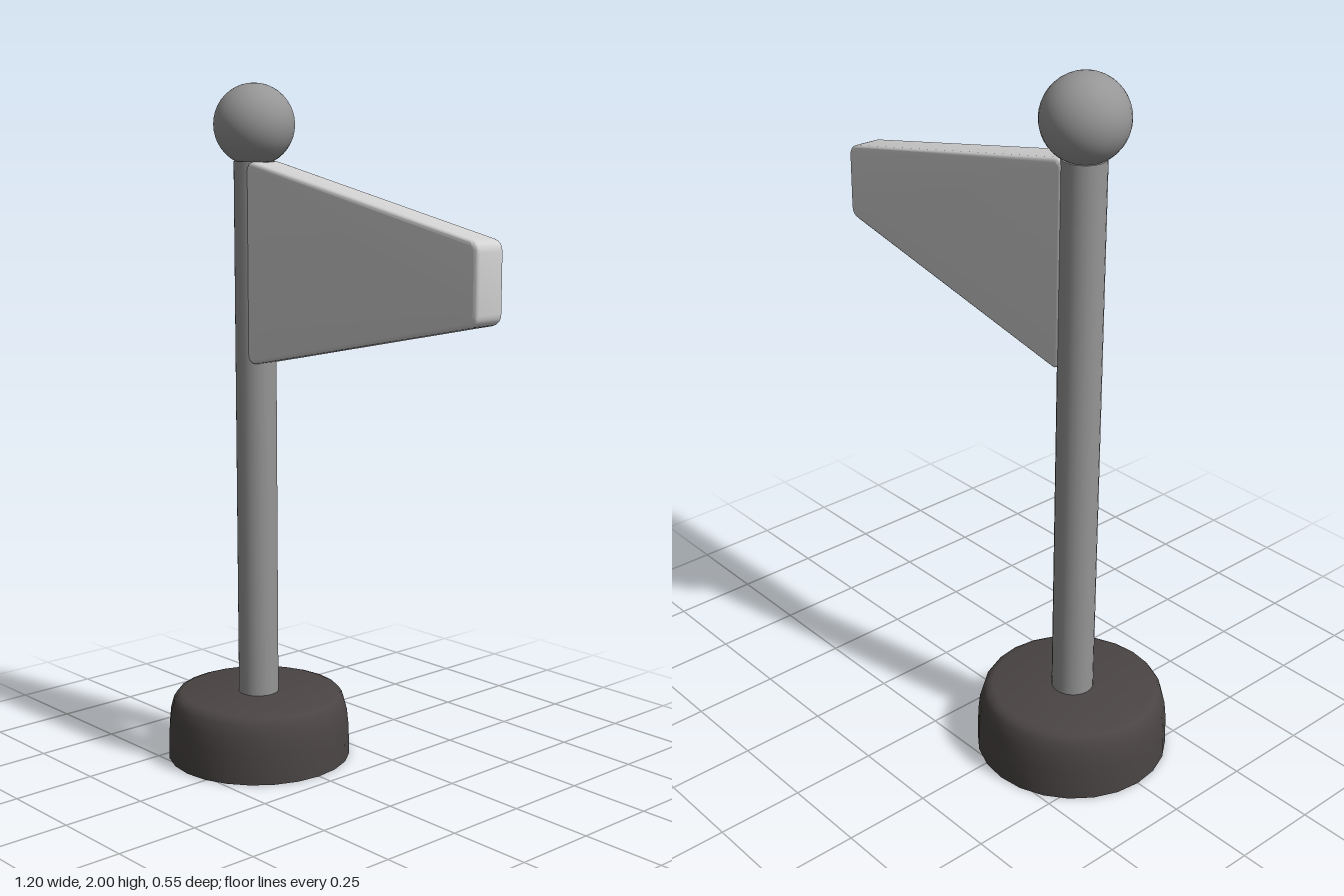
import * as THREE from 'three';
import { toCreasedNormals } from 'three/addons/utils/BufferGeometryUtils.js';

export function createModel() {
  const group = new THREE.Group();
  const baseMat = new THREE.MeshStandardMaterial({ color: 0x4a4544 });
  baseMat.name = 'dark grey';
  const poleMat = new THREE.MeshStandardMaterial({ color: 0x969696 });
  poleMat.name = 'mid grey';
  const flagMat = new THREE.MeshStandardMaterial({ color: 0xd2d2d2 });
  flagMat.name = 'light grey';
  const poleX = -0.325;

  const add = (name, geometry, material, x = 0, y = 0, z = 0) => {
    const mesh = new THREE.Mesh(geometry, material);
    mesh.name = name;
    mesh.position.set(x, y, z);
    group.add(mesh);
  };

  // Round foot with a softened shoulder
  const profile = [
    [0, 0], [0.275, 0], [0.273, 0.09], [0.268, 0.14], [0.258, 0.175],
    [0.247, 0.191], [0.23, 0.197], [0, 0.197],
  ].map(([r, y]) => new THREE.Vector2(r, y));
  add('base', toCreasedNormals(new THREE.LatheGeometry(profile, 24), 0.8), baseMat, poleX);

  // Pole and ball finial
  add('pole', new THREE.CylinderGeometry(0.06, 0.06, 1.61, 24), poleMat, poleX, 0.975);
  add('finial', new THREE.SphereGeometry(0.117, 32, 20), poleMat, poleX, 1.883);

  // Thick tapered pennant: rounded outline, bevelled on both faces
  const bevel = 0.012;
  const corners = [[-0.288, 1.212], [0.584, 1.397], [0.584, 1.588], [-0.288, 1.77]]
    .map(([x, y]) => new THREE.Vector2(x, y));
  const outline = new THREE.Shape();
  corners.forEach((c, i) => {
    const toward = (p) => c.clone().add(p.clone().sub(c).setLength(0.018));
    const a = toward(corners[(i + 3) % 4]);
    const b = toward(corners[(i + 1) % 4]);
    if (i === 0) outline.moveTo(a.x, a.y);
    else outline.lineTo(a.x, a.y);
    outline.quadraticCurveTo(c.x, c.y, b.x, b.y);
  });
  outline.closePath();
  const depth = 0.106 - 2 * bevel;
  const flag = new THREE.ExtrudeGeometry(outline, {
    depth, curveSegments: 4, bevelEnabled: true,
    bevelThickness: bevel, bevelSize: bevel, bevelSegments: 3,
  });
  flag.translate(0, 0, -depth / 2);
  // Thin the pennant slightly toward its tip
  const pos = flag.attributes.position;
  for (let i = 0; i < pos.count; i++) {
    const t = (pos.getX(i) + 0.3) / 0.9;
    pos.setZ(i, pos.getZ(i) * (1.03 - 0.09 * t));
  }
  add('flag', toCreasedNormals(flag, 0.6), flagMat);

  return group;
}
